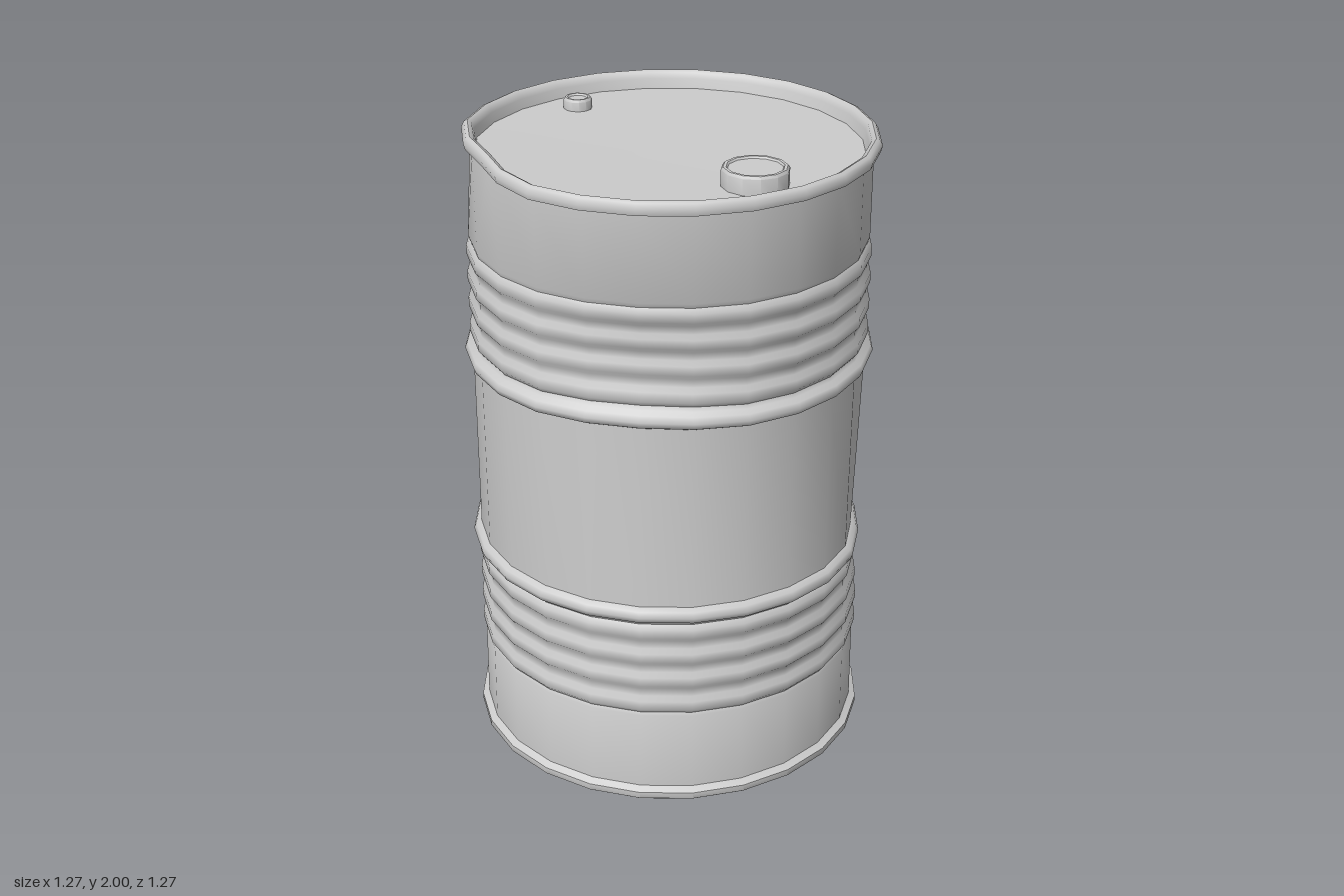
import * as THREE from 'three';
import { mergeVertices, toCreasedNormals } from 'three/addons/utils/BufferGeometryUtils.js';

const SIDES = 24;
const material = new THREE.MeshStandardMaterial({ color: 0xcccccc });

// Dents: azimuth (degrees from +z towards +x), height, half width, half height, depth
const DENTS = [
  { az: -105, y: 1.98, w: 30, h: 0.32, d: 0.047 },
  { az: -45, y: 1.45, w: 40, h: 0.35, d: 0.04 },
  { az: 180, y: 1.36, w: 40, h: 0.35, d: 0.027 },
  { az: 127, y: 0.4, w: 35, h: 0.32, d: 0.03 },
  { az: 53, y: 0.72, w: 32, h: 0.3, d: 0.022 },
];

const bump = (t) => (Math.abs(t) < 1 ? Math.cos(t * Math.PI / 2) ** 2 : 0);

function dent(geometry) {
  const p = geometry.attributes.position;
  for (let i = 0; i < p.count; i++) {
    const x = p.getX(i), y = p.getY(i), z = p.getZ(i), r = Math.hypot(x, z);
    if (r < 0.5) continue;
    const az = THREE.MathUtils.radToDeg(Math.atan2(x, z));
    let push = 0;
    for (const k of DENTS) {
      const turn = THREE.MathUtils.euclideanModulo(az - k.az + 180, 360) - 180;
      push += k.d * bump(turn / k.w) * bump((y - k.y) / k.h);
    }
    p.setXYZ(i, x * (r - push) / r, y, z * (r - push) / r);
  }
}

function lathe(name, profile, sides, crease, deform) {
  let g = new THREE.LatheGeometry(profile.map(([r, y]) => new THREE.Vector2(r, y)), sides);
  g.deleteAttribute('normal');
  g.deleteAttribute('uv');
  g = mergeVertices(g, 1e-4);
  if (deform) deform(g);
  const mesh = new THREE.Mesh(toCreasedNormals(g, crease), material);
  mesh.name = name;
  return mesh;
}

// One rolled hoop, and one shallow pressed rib, as short runs of the wall profile
const hoop = (y) => [[0.612, y - 0.027], [0.63, y - 0.018], [0.637, y], [0.63, y + 0.018], [0.612, y + 0.027]];
const rib = (y) => [[0.607, y - 0.03], [0.619, y - 0.015], [0.619, y + 0.015], [0.607, y + 0.03]];

export function createModel() {
  const group = new THREE.Group();
  group.name = 'barrel';

  // Base, wall, rims and recessed lid in one turned shell
  const profile = [
    [0, 0.005], [0.6, 0.005], [0.62, 0], [0.635, 0.012], [0.635, 0.033], [0.614, 0.046],
    [0.612, 0.31],
    ...[0.35, 0.437, 0.523, 0.61].flatMap(rib),
    ...hoop(0.677),
    ...hoop(1.32),
    ...[1.39, 1.475, 1.56, 1.645].flatMap(rib),
    [0.612, 1.69], [0.612, 1.953],
    [0.632, 1.96], [0.637, 1.978], [0.628, 1.995], [0.617, 2], [0.604, 1.993], [0.598, 1.975],
    [0.59, 1.945], [0.45, 1.943], [0, 1.943],
  ];
  group.add(lathe('drumShell', profile, SIDES, 0.9, dent));

  // Screw plugs on the lid
  const plug = (name, r, inner, top, z, sides) => {
    const mesh = lathe(name, [[r, 1.935], [r, top - 0.008], [r - 0.006, top], [inner, top], [inner - 0.004, top - 0.006], [0, top - 0.006]], sides, 0.7);
    mesh.position.z = z;
    group.add(mesh);
  };
  plug('largePlug', 0.1, 0.085, 2, 0.41, 12);
  plug('smallPlug', 0.045, 0.033, 1.98, -0.483, 12);

  return group;
}
